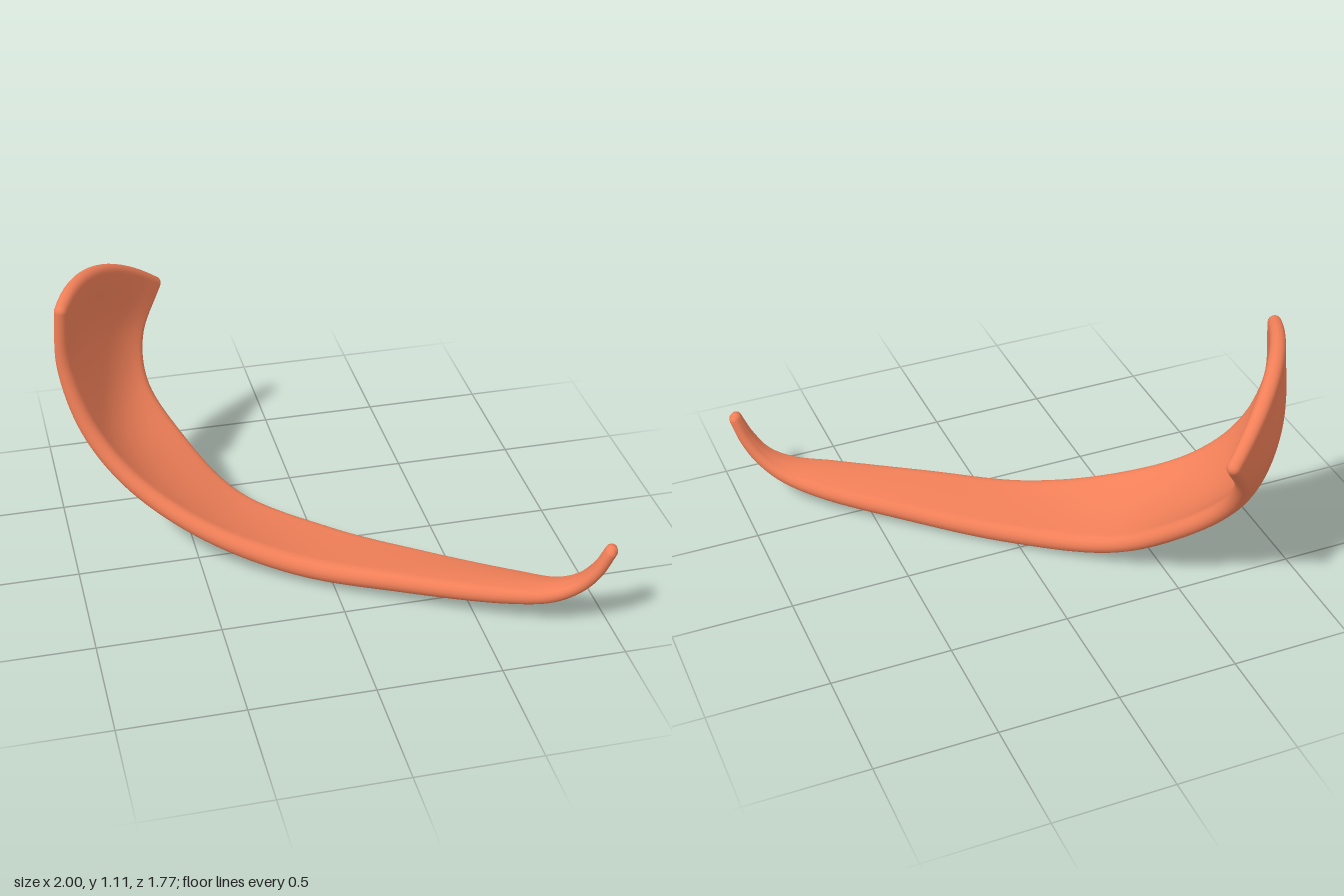
import * as THREE from 'three';

// Stations from the flared rim to the upturned tip:
// near edge, middle, far edge of the centre surface, then thickness
const STATIONS = [
  [[-0.965, 1.06, -0.30], [-0.78, 1.045, -0.625], [-0.508, 0.85, -0.857], 0.065],
  [[-0.965, 0.80, -0.312], [-0.812, 0.76, -0.602], [-0.612, 0.67, -0.757], 0.075],
  [[-0.888, 0.53, -0.246], [-0.78, 0.46, -0.47], [-0.622, 0.49, -0.642], 0.085],
  [[-0.735, 0.327, -0.127], [-0.637, 0.27, -0.315], [-0.512, 0.30, -0.485], 0.09],
  [[-0.473, 0.168, 0.055], [-0.405, 0.12, -0.10], [-0.31, 0.107, -0.247], 0.095],
  [[-0.132, 0.082, 0.255], [-0.05, 0.055, 0.155], [0.034, 0.052, 0.055], 0.105],
  [[0.248, 0.092, 0.484], [0.315, 0.075, 0.41], [0.382, 0.067, 0.336], 0.098],
  [[0.598, 0.115, 0.682], [0.64, 0.107, 0.63], [0.682, 0.098, 0.576], 0.087],
  [[0.765, 0.14, 0.762], [0.79, 0.138, 0.73], [0.815, 0.135, 0.695], 0.073],
  [[0.86, 0.195, 0.805], [0.875, 0.193, 0.783], [0.89, 0.195, 0.758], 0.062],
  [[0.917, 0.275, 0.84], [0.928, 0.273, 0.82], [0.94, 0.275, 0.80], 0.056],
  [[0.961, 0.375, 0.86], [0.968, 0.377, 0.846], [0.975, 0.375, 0.832], 0.052],
];
const LENGTH_STEPS = 90, ACROSS = 16, EDGE = 8, CAP = 6;
const EDGE_TAPER = 0.15;

const rail = k => new THREE.CatmullRomCurve3(
  STATIONS.map(s => new THREE.Vector3(...s[k])), false, 'centripetal');
const rails = [rail(0), rail(1), rail(2)];
const thicknessCurve = new THREE.SplineCurve(
  STATIONS.map((s, i) => new THREE.Vector2(i, s[3])));

// Weighted sum of three vectors
const blend = (v, w) => new THREE.Vector3()
  .addScaledVector(v[0], w[0]).addScaledVector(v[1], w[1]).addScaledVector(v[2], w[2]);

// One closed rounded section; shrink and push shape the rounded ends
function section(s, shrink, push) {
  const p = rails.map(r => r.getPoint(s));
  const d = rails.map(r => r.getTangent(s));
  const full = thicknessCurve.getPoint(s).y / 2;
  const ring = [];
  const add = (v, angle) => {
    const half = full * (1 - EDGE_TAPER * (2 * v - 1) ** 2);
    const w = [(1 - v) * (1 - 2 * v), 4 * v * (1 - v), v * (2 * v - 1)];
    const dw = [4 * v - 3, 4 - 8 * v, 4 * v - 1];
    const along = blend(d, w).normalize();
    const across = blend(p, dw);
    across.addScaledVector(along, -across.dot(along)).normalize();
    const normal = new THREE.Vector3().crossVectors(across, along);
    ring.push(blend(p, w)
      .addScaledVector(along, push * half)
      .addScaledVector(normal, Math.cos(angle) * half * shrink)
      .addScaledVector(across, Math.sin(angle) * half * shrink));
  };
  for (let i = 0; i < ACROSS; i++) add(i / ACROSS, 0);
  for (let i = 0; i < EDGE; i++) add(1, Math.PI * i / EDGE);
  for (let i = 0; i < ACROSS; i++) add(1 - i / ACROSS, Math.PI);
  for (let i = 0; i < EDGE; i++) add(0, Math.PI * (1 + i / EDGE));
  return ring;
}

function sweptBlade() {
  const rings = [];
  // Rounded rim, body, rounded tip
  for (let i = 0; i < CAP; i++) {
    const a = Math.PI / 2 * (1 - i / CAP);
    rings.push(section(0, Math.cos(a), -Math.sin(a)));
  }
  for (let i = 0; i <= LENGTH_STEPS; i++) rings.push(section(i / LENGTH_STEPS, 1, 0));
  for (let i = 1; i <= CAP; i++) {
    const a = Math.PI / 2 * i / CAP;
    rings.push(section(1, Math.cos(a), Math.sin(a)));
  }
  const n = rings[0].length, index = [];
  for (let i = 0; i < rings.length - 1; i++) {
    for (let j = 0; j < n; j++) {
      const k = (j + 1) % n;
      const a = i * n + j, b = i * n + k, c = a + n, e = b + n;
      index.push(a, b, c, b, e, c);
    }
  }
  const geometry = new THREE.BufferGeometry().setFromPoints(rings.flat());
  geometry.setIndex(index);
  geometry.computeVertexNormals();
  return geometry;
}

export function createModel() {
  const group = new THREE.Group();
  group.name = 'curvedHorn';
  const blade = new THREE.Mesh(sweptBlade(),
    new THREE.MeshStandardMaterial({ color: 0xf07f58 }));
  blade.name = 'flaredBlade';
  group.add(blade);
  return group;
}
